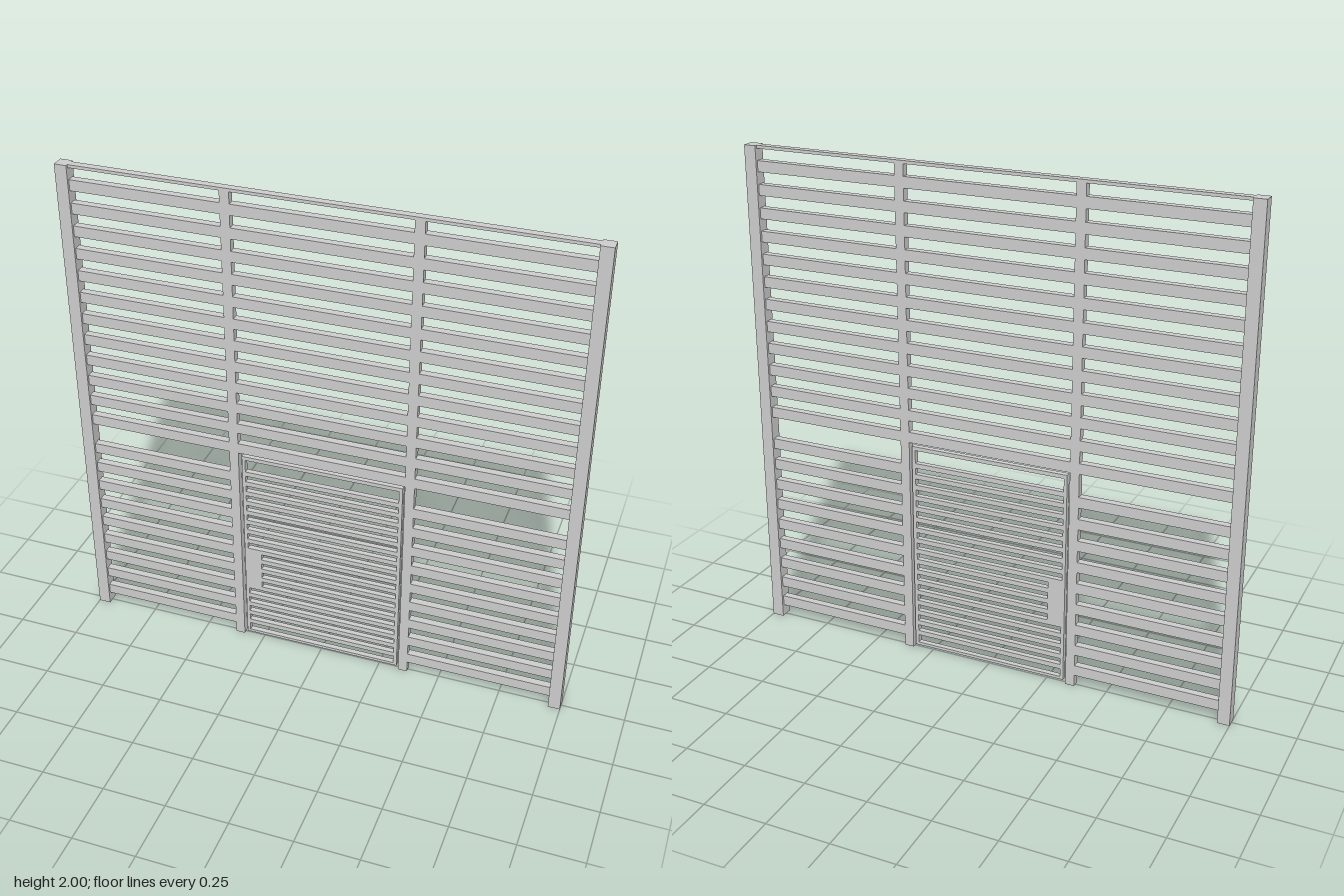
import * as THREE from 'three';

export function createModel() {
  const model = new THREE.Group();
  model.name = 'slattedGatePanel';
  const material = new THREE.MeshStandardMaterial({ color: 0xcccccc, flatShading: true });

  // Box given by its x and y limits and depth, centred on z = 0
  const bar = (parent, name, x0, x1, y0, y1, depth) => {
    const mesh = new THREE.Mesh(new THREE.BoxGeometry(x1 - x0, y1 - y0, depth), material);
    mesh.position.set((x0 + x1) / 2, (y0 + y1) / 2, 0);
    mesh.name = name;
    parent.add(mesh);
  };

  const postIn = 0.952, mullionOut = 0.371, mullionIn = 0.334;
  const panelDepth = 0.03, slatH = 0.043;

  // Outer posts and inner uprights
  bar(model, 'rightPost', -1, -postIn, 0, 2, 0.05);
  bar(model, 'leftPost', postIn, 1, 0, 2, 0.05);
  bar(model, 'rightUpright', -mullionOut, -mullionIn, 0, 1.99, panelDepth);
  bar(model, 'leftUpright', mullionIn, mullionOut, 0, 1.99, panelDepth);

  // Thin rail closing the top
  bar(model, 'topRail', -postIn, postIn, 1.988, 2, panelDepth);

  // Slats in three bays; the middle bay is open below for the door
  const slat = (name, x0, x1, y) => bar(model, name, x0, x1, y - slatH / 2, y + slatH / 2, panelDepth);
  const sideSlats = (y) => {
    slat('rightSlat', -postIn, -mullionOut, y);
    slat('leftSlat', mullionOut, postIn, y);
  };
  for (let i = 0; i < 12; i++) {
    const y = 1.921 - i * 0.0904;
    sideSlats(y);
    slat('middleSlat', -mullionIn, mullionIn, y);
  }
  for (let i = 0; i < 9; i++) sideSlats(0.79 - i * 0.09);

  // Door frame
  const door = new THREE.Group();
  door.name = 'door';
  model.add(door);
  const doorDepth = 0.022, x0 = -0.322, x1 = 0.325, y0 = 0.013, y1 = 0.89;
  const inL = x0 + 0.013, inR = x1 - 0.014;
  bar(door, 'doorStile', x0, inL, y0, y1, doorDepth);
  bar(door, 'doorStile', inR, x1, y0, y1, doorDepth);
  bar(door, 'doorTopRail', inL, inR, y1 - 0.016, y1, doorDepth);
  bar(door, 'doorBottomRail', inL, inR, y0, y0 + 0.012, doorDepth);

  // Lock plate spanning five door slats
  const plateX = -0.252, plateLow = 0.245, plateHigh = 0.449;
  bar(door, 'lockPlate', inL, plateX, plateLow, plateHigh, doorDepth);

  // Narrow door slats, shortened beside the lock plate
  for (let i = 0; i < 17; i++) {
    const y = 0.81 - i * 0.0463;
    const start = y > plateLow && y < plateHigh ? plateX : inL;
    bar(door, 'doorSlat', start, inR, y - 0.01, y + 0.01, doorDepth);
  }
  return model;
}
